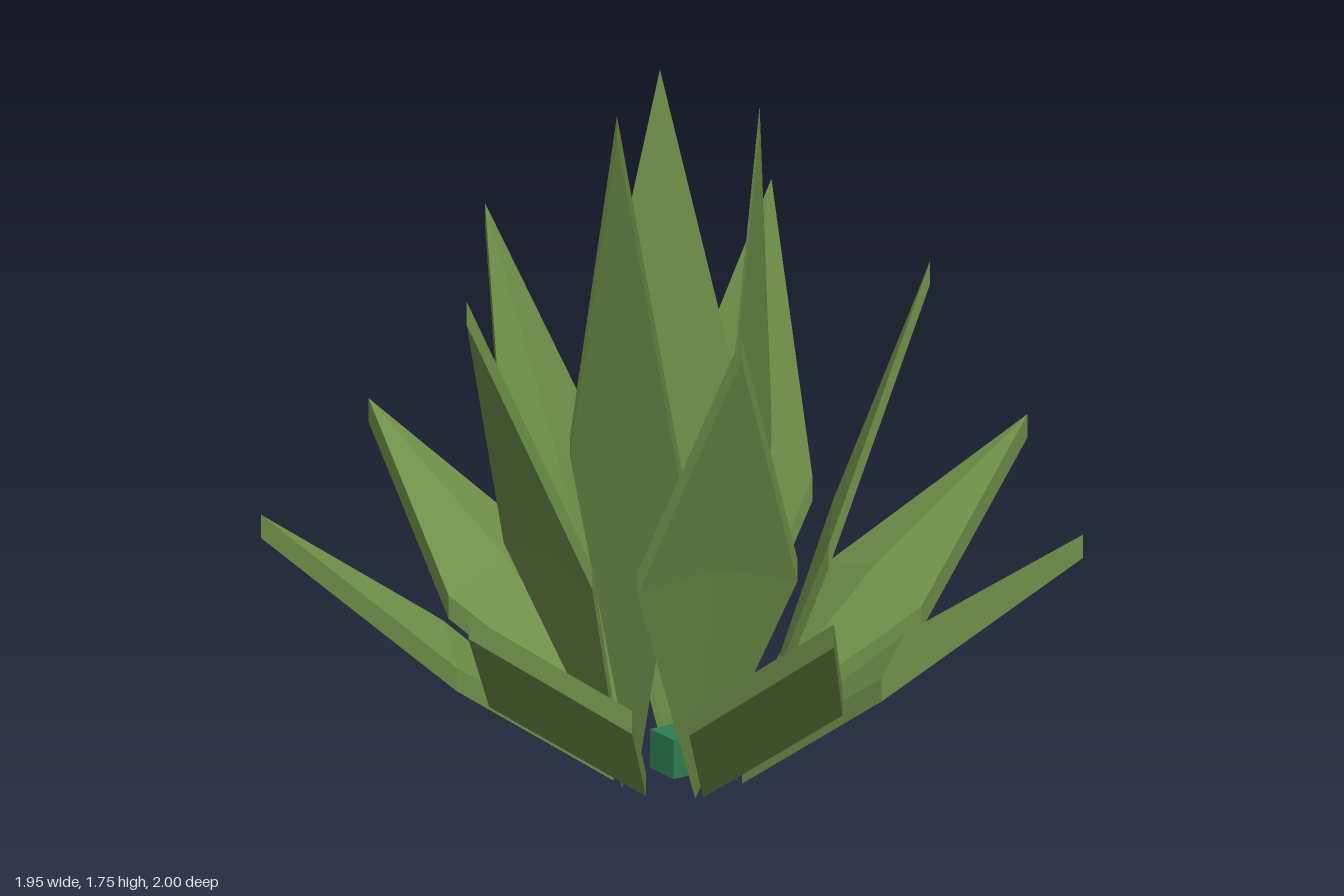
import * as THREE from 'three';

const THICK = 0.06;  // vertical thickness of a leaf
const RIDGE = 0.05;  // how far the middle of a leaf is raised
const HALF_WIDTH = 0.2;
const WIDEST = 0.48; // where along the leaf it is widest

// Kite-shaped folded slab running outward along +x and up along y
function leafGeometry(baseR, tipR, height) {
  const rise = height - THICK;
  const midR = baseR + (tipR - baseR) * WIDEST;
  const midY = rise * WIDEST;
  const outline = [
    [baseR, 0, 0],
    [midR, midY, HALF_WIDTH],
    [tipR, rise, 0],
    [midR, midY, -HALF_WIDTH],
  ];
  const centre = [midR, midY + RIDGE, 0];
  const up = ([x, y, z]) => [x, y + THICK, z];
  const points = [];
  outline.forEach((a, i) => {
    const b = outline[(i + 1) % 4];
    points.push(up(centre), up(a), up(b)); // upper face
    points.push(centre, b, a);             // under face
    points.push(a, b, up(b), a, up(b), up(a)); // rim
  });
  const geometry = new THREE.BufferGeometry();
  geometry.setAttribute('position', new THREE.Float32BufferAttribute(points.flat(), 3));
  geometry.computeVertexNormals();
  return geometry;
}

export function createModel() {
  const leafGreen = new THREE.MeshStandardMaterial({ color: 0x6d9049 });
  leafGreen.name = 'leaf green';
  const coreGreen = new THREE.MeshStandardMaterial({ color: 0x2e7d4f });
  coreGreen.name = 'core green';

  const model = new THREE.Group();
  model.name = 'spikyPlant';
  const plant = new THREE.Group();
  plant.name = 'plant';
  plant.position.x = -0.055;
  model.add(plant);

  // Three rings of leaves, from low and spread to tall and upright
  const rings = [
    { name: 'outerLeaf', count: 7, start: 0, baseR: 0.16, tipR: 1.025, height: 0.73 },
    { name: 'middleLeaf', count: 5, start: 38, baseR: 0.16, tipR: 0.61, height: 1.34 },
    { name: 'innerLeaf', count: 3, start: 51.5, baseR: 0.145, tipR: 0.205, height: 1.75 },
  ];
  for (const ring of rings) {
    const geometry = leafGeometry(ring.baseR, ring.tipR, ring.height);
    for (let i = 0; i < ring.count; i++) {
      const leaf = new THREE.Mesh(geometry, leafGreen);
      leaf.name = ring.name + (i + 1);
      leaf.rotation.y = -THREE.MathUtils.degToRad(ring.start + (i * 360) / ring.count);
      plant.add(leaf);
    }
  }

  // Small block at the heart of the plant
  const core = new THREE.Mesh(new THREE.BoxGeometry(0.1, 0.1, 0.1), coreGreen);
  core.name = 'core';
  core.position.y = 0.07;
  plant.add(core);

  return model;
}
